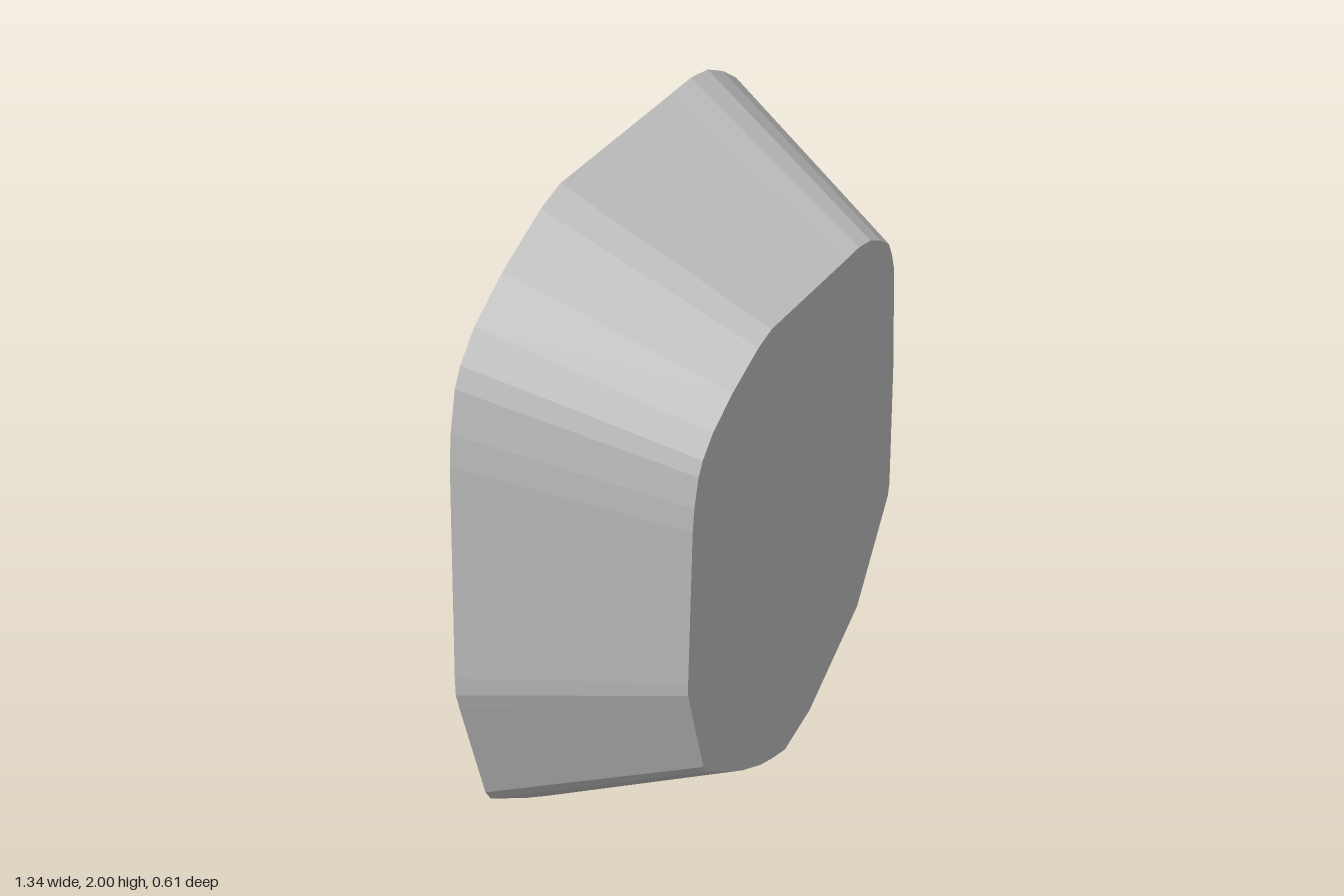
import * as THREE from 'three';

// Outline of the large back face, counter-clockwise from the lowest point
const OUTLINE = [
  [-0.03, 0], [0.14, 0.085], [0.465, 0.39], [0.662, 0.80], [0.67, 0.85],
  [0.66, 1.37], [0.635, 1.80], [0.615, 1.87], [0.59, 1.925], [0.53, 1.965],
  [0.46, 1.995], [0.385, 2], [0.30, 1.987], [-0.17, 1.922], [-0.25, 1.885],
  [-0.405, 1.78], [-0.52, 1.68], [-0.58, 1.60], [-0.605, 1.545], [-0.63, 1.43],
  [-0.64, 1.34], [-0.67, 0.71], [-0.67, 0.655], [-0.66, 0.61], [-0.575, 0.27],
  [-0.555, 0.235], [-0.41, 0.14], [-0.32, 0.087], [-0.20, 0.035], [-0.12, 0.014],
];
const DEPTH = 0.61;

export function createModel() {
  const group = new THREE.Group();
  group.name = 'facetedStone';
  const stone = new THREE.MeshStandardMaterial({ color: 0xc0c0c0 });
  stone.name = 'stone grey';

  // Straight prism through the outline
  const shape = new THREE.Shape(OUTLINE.map(([x, y]) => new THREE.Vector2(x, y)));
  const geometry = new THREE.ExtrudeGeometry(shape, { depth: DEPTH, bevelEnabled: false });
  geometry.translate(0, 0, -DEPTH / 2);

  // Taper: shrink the front face to 70 percent and shift it slightly
  const p = geometry.attributes.position;
  for (let i = 0; i < p.count; i++) {
    if (p.getZ(i) > 0) p.setXY(i, p.getX(i) * 0.7 - 0.02, p.getY(i) * 0.7 + 0.35);
  }
  geometry.computeVertexNormals(); // unshared vertices give flat facets

  const body = new THREE.Mesh(geometry, stone);
  body.name = 'stoneBody';
  group.add(body);
  return group;
}
